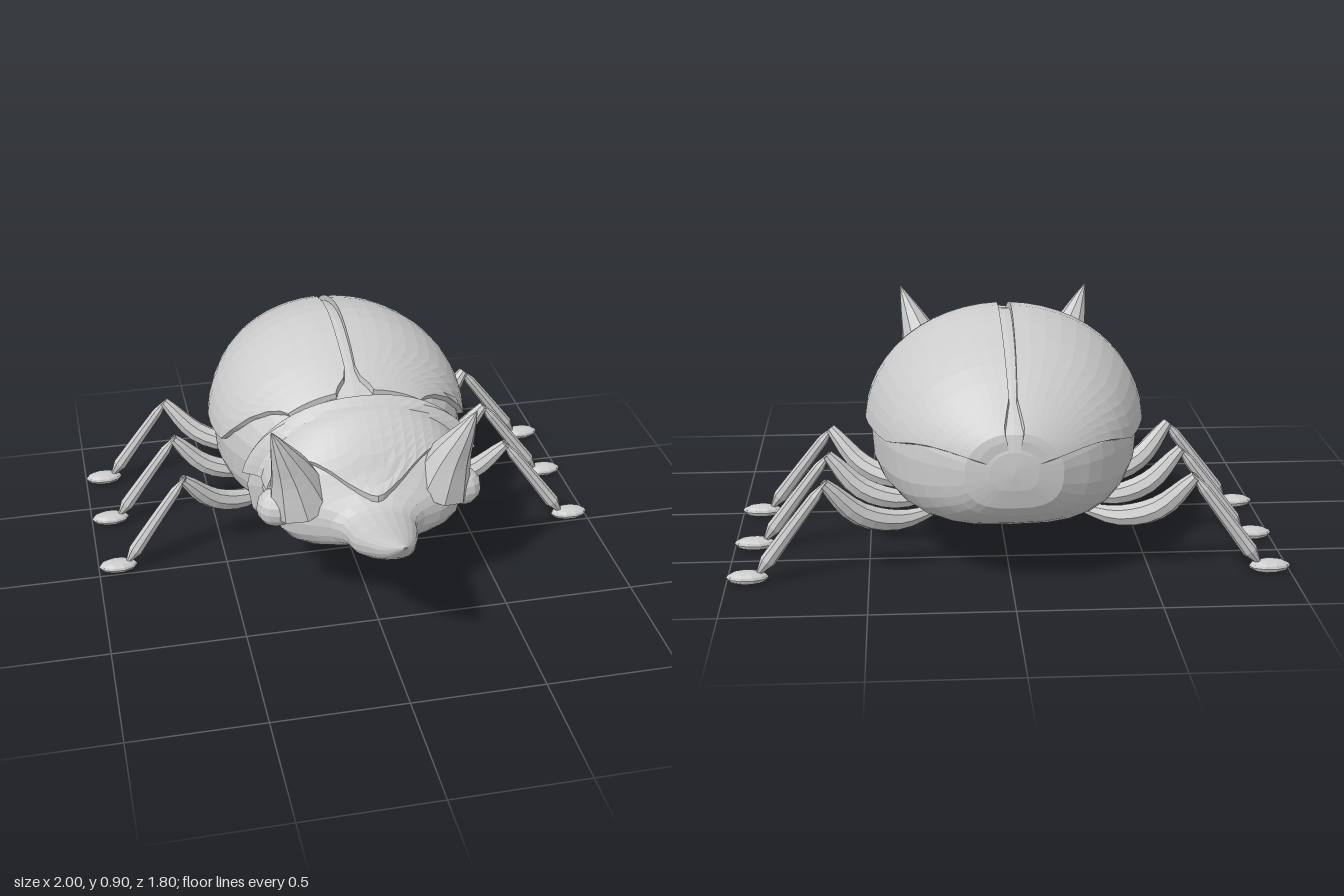
import * as THREE from 'three';

const { clamp, smoothstep, lerp } = THREE.MathUtils;
const material = new THREE.MeshStandardMaterial({ color: 0xcccccc, flatShading: true, side: THREE.DoubleSide });

function add(parent, name, geometry) {
  const mesh = new THREE.Mesh(geometry, material);
  mesh.name = name;
  parent.add(mesh);
  return mesh;
}

// Surface through a grid of points: i runs towards +z, j towards +x across the top
function grid(nu, nv, point) {
  const positions = [], index = [];
  for (let i = 0; i <= nu; i++) for (let j = 0; j <= nv; j++) positions.push(...point(i, j));
  for (let i = 0; i < nu; i++) for (let j = 0; j < nv; j++) {
    const a = i * (nv + 1) + j, b = a + nv + 1;
    index.push(a, b, a + 1, b, b + 1, a + 1);
  }
  const geometry = new THREE.BufferGeometry();
  geometry.setAttribute('position', new THREE.Float32BufferAttribute(positions, 3));
  geometry.setIndex(index);
  geometry.computeVertexNormals();
  return geometry;
}

// Rows of [z, half width, middle y, top y, bottom y] become hull(z, angle from top, lift)
function makeHull(rows, lowerPower) {
  const spline = new THREE.CubicInterpolant(rows.map(r => r[0]), rows.flatMap(r => r.slice(1)), 4, new Float32Array(4));
  return (z, a, lift = 0) => {
    const [w, mid, top, bottom] = spline.evaluate(z);
    const s = Math.sin(a), c = Math.cos(a);
    const p = c < 0 ? lowerPower : 1;
    const x = Math.sign(s) * Math.abs(s) ** p * (Math.max(w, 0) + lift);
    const y = c >= 0 ? mid + (top - mid + lift) * c : mid - (mid - bottom + lift) * Math.abs(c) ** p;
    return [x, y, z];
  };
}

// Raised plate lying on a hull, its border sunk into the surface
function plate(hull, nu, nv, lift, place) {
  return grid(nu + 2, nv + 2, (i, j) => {
    const border = i === 0 || j === 0 || i === nu + 2 || j === nv + 2;
    const [z, a] = place(clamp(i - 1, 0, nu) / nu, clamp(j - 1, 0, nv) / nv);
    return hull(z, a, border ? -0.015 : lift);
  });
}

// Tube whose radius follows a rule along its length
function taperedTube(points, segments, sides, radius) {
  const curve = new THREE.CatmullRomCurve3(points.map(p => new THREE.Vector3(...p)));
  const geometry = new THREE.TubeGeometry(curve, segments, 1, sides);
  const pos = geometry.attributes.position, v = new THREE.Vector3();
  for (let k = 0; k < pos.count; k++) {
    const t = Math.floor(k / (sides + 1)) / segments, center = curve.getPointAt(t);
    v.fromBufferAttribute(pos, k).sub(center).multiplyScalar(radius(t)).add(center);
    pos.setXYZ(k, v.x, v.y, v.z);
  }
  geometry.computeVertexNormals();
  return geometry;
}

const bodyHull = makeHull([
  [-0.9, 0, 0.46, 0.47, 0.45], [-0.893, 0.1, 0.46, 0.54, 0.38], [-0.86, 0.19, 0.46, 0.6, 0.3],
  [-0.8, 0.28, 0.46, 0.67, 0.25], [-0.7, 0.37, 0.46, 0.76, 0.2], [-0.5, 0.455, 0.46, 0.85, 0.17],
  [-0.3, 0.49, 0.46, 0.88, 0.165], [-0.1, 0.46, 0.46, 0.83, 0.175], [0, 0.415, 0.46, 0.78, 0.19],
  [0.08, 0.37, 0.46, 0.73, 0.21], [0.14, 0.33, 0.46, 0.68, 0.24], [0.17, 0, 0.46, 0.47, 0.45],
], 0.68);

const headHull = makeHull([
  [0.11, 0, 0.45, 0.46, 0.44], [0.135, 0.35, 0.45, 0.69, 0.24], [0.21, 0.365, 0.45, 0.735, 0.225],
  [0.3, 0.355, 0.44, 0.7, 0.23], [0.38, 0.335, 0.43, 0.62, 0.27], [0.43, 0.27, 0.42, 0.55, 0.3],
  [0.48, 0.165, 0.42, 0.51, 0.325], [0.6, 0.12, 0.43, 0.51, 0.36], [0.7, 0.09, 0.475, 0.53, 0.41],
  [0.8, 0.053, 0.52, 0.558, 0.48], [0.9, 0, 0.59, 0.59, 0.588],
], 0.8);

// Upper leg arches out to the knee, lower leg drops to a flat foot
function makeLeg(side, hipZ, kneeZ, footZ) {
  const leg = new THREE.Group();
  const z = t => lerp(hipZ, kneeZ, t);
  add(leg, 'upperLeg', taperedTube(
    [[0.27, 0.205, z(0)], [0.4, 0.19, z(0.35)], [0.53, 0.235, z(0.68)], [0.65, 0.365, z(1)]].map(([x, y, d]) => [side * x, y, d]),
    10, 8, t => 0.006 + 0.037 * Math.sin(Math.PI * (0.06 + 0.86 * t)) ** 0.7));
  add(leg, 'lowerLeg', taperedTube(
    [[side * 0.637, 0.375, kneeZ], [side * 0.76, 0.21, lerp(kneeZ, footZ, 0.4)], [side * 0.895, 0.025, footZ]],
    6, 8, t => (t === 0 || t === 1 ? 0.003 : 0.019 + 0.011 * t)));
  const foot = add(leg, 'foot', new THREE.SphereGeometry(1, 10, 8));
  foot.scale.set(0.075, 0.024, 0.043);
  foot.position.set(side * 0.925, 0.025, footZ);
  return leg;
}

export function createModel() {
  const model = new THREE.Group();
  model.name = 'hornedBeetle';

  // Body, with rings crowding towards both ends
  add(model, 'body', grid(22, 28, (i, j) =>
    bodyHull(-0.365 - 0.535 * Math.cos(Math.PI * i / 22), Math.PI * (j / 14 - 1))));

  // Wing cases: narrow gap along the spine, lower edge sweeping up in front and behind
  for (const side of [1, -1]) {
    const shell = plate(bodyHull, 20, 12, 0.022, (u, v) => {
      const z = -0.408 - 0.484 * Math.cos(Math.PI * u);
      const inner = 0.045 + 0.14 * smoothstep(z, 0.0, 0.08) + 0.15 * (1 - smoothstep(z, -0.895, -0.8));
      const outer = 1.5 - 0.8 * smoothstep(z, -0.14, 0.09) - 0.3 * (1 - smoothstep(z, -0.9, -0.6));
      return [z, side > 0 ? lerp(inner, outer, v) : -lerp(outer, inner, v)];
    });
    add(model, side > 0 ? 'leftWingCase' : 'rightWingCase', shell);
  }

  // Head drawn out into the long upturned nose horn
  add(model, 'headAndNoseHorn', grid(26, 20, (i, j) =>
    headHull(i < 2 ? 0.11 + 0.025 * i : 0.135 + 0.765 * (i - 1) / 25, Math.PI * (j / 10 - 1))));

  // Neck shield with a tongue reaching forward between the brow horns
  add(model, 'neckShield', plate(headHull, 10, 24, 0.026, (u, v) => {
    const a = lerp(-1.4, 1.4, v);
    const front = 0.285 + 0.195 * Math.exp(-((a / 0.6) ** 2));
    return [lerp(0.137, front, u), a];
  }));

  for (const side of [1, -1]) {
    const label = side > 0 ? 'left' : 'right';
    // Brow horn
    add(model, label + 'BrowHorn', taperedTube(
      [[side * 0.26, 0.47, 0.34], [side * 0.295, 0.6, 0.365], [side * 0.34, 0.72, 0.4], [side * 0.375, 0.812, 0.42]],
      8, 9, t => 0.122 * (1 - t) ** 0.9 + 0.001));
    // Eye
    const eye = add(model, label + 'Eye', new THREE.SphereGeometry(0.073, 12, 8));
    eye.position.set(side * 0.352, 0.452, 0.34);
    // Legs: hip, knee and foot depth for each pair
    [['Front', -0.21, -0.065, -0.03], ['Middle', -0.39, -0.385, -0.38], ['Rear', -0.56, -0.7, -0.705]].forEach(([pair, ...depths]) => {
      const leg = makeLeg(side, ...depths);
      leg.name = label + pair + 'Leg';
      model.add(leg);
    });
  }
  return model;
}
